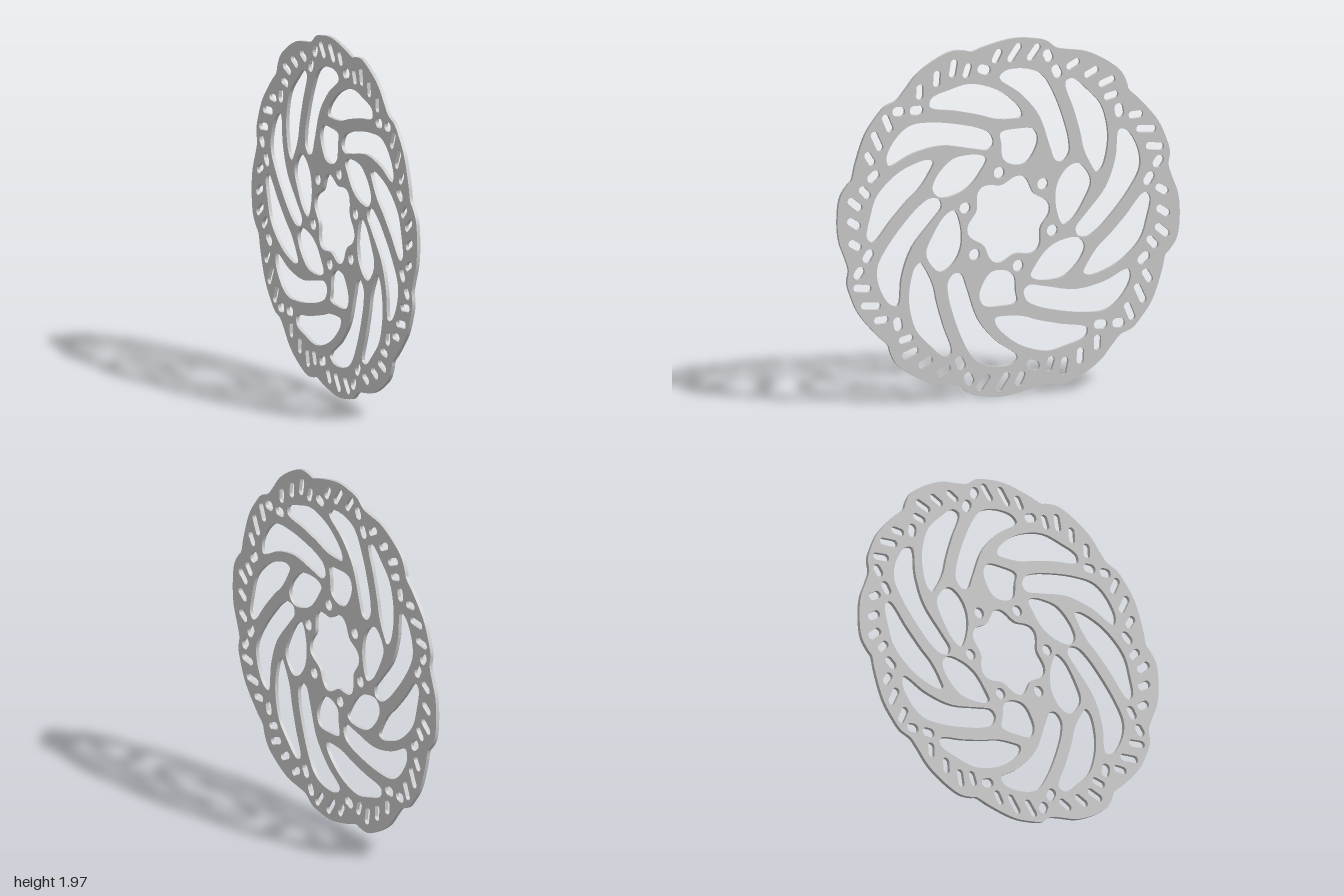
import * as THREE from 'three';

const UNIT = 187;          // drawing units per model unit
const THICK = 0.02;
const HUB_SHIFT = -2;      // the hub sits slightly below the rim centre
const BOLT_ANGLE = -12;
const SIXTHS = [0, 60, 120, 180, 240, 300];

// Clockwise turn about the centre, in degrees
function turned([x, y], deg) {
  const a = THREE.MathUtils.degToRad(deg), c = Math.cos(a), s = Math.sin(a);
  return [x * c + y * s, y * c - x * s];
}

// Point at an angle clockwise from the top
const polar = (deg, r) => turned([0, r], deg);
const toHub = ([x, y]) => [x, y + HUB_SHIFT];
const toVectors = points => points.map(([x, y]) => new THREE.Vector2(x / UNIT, y / UNIT));

// Smooth closed curve through a few points
function closedCurve(points, divisions) {
  const curve = new THREE.CatmullRomCurve3(
    points.map(([x, y]) => new THREE.Vector3(x, y, 0)), true, 'centripetal');
  return toVectors(curve.getPoints(divisions).slice(0, -1).map(p => [p.x, p.y]));
}

// Rounded slot with its long axis tilted clockwise from vertical
function slot([cx, cy], tilt, length, width) {
  const half = (length - width) / 2, points = [];
  for (let i = 0; i < 16; i++) {
    const [x, y] = polar(90 - (i + 0.5) * 22.5, width / 2);
    const [dx, dy] = turned([x, y + (i < 8 ? half : -half)], tilt);
    points.push([cx + dx, cy + dy]);
  }
  return toVectors(points);
}

// Two long curved openings between the spokes, repeated six times
const spokeOpenings = [
  [[-10, 145], [-3, 152], [20, 152], [37, 144], [50, 123], [61, 94], [66, 74], [66, 61],
    [59, 53], [51, 55], [45, 70], [33, 103], [13, 127]],
  [[62, 135], [70, 138], [87, 124], [101, 108], [108, 84], [108, 64], [102, 43], [96, 39],
    [90, 47], [82, 64], [78, 82], [71, 106]],
];

// Small openings beside the hub, repeated by a half turn
const hubOpenings = [
  [[-8, 77], [-9, 88], [8, 91], [27, 89], [32, 79], [28, 66], [19, 55], [5, 54], [-6, 61]],
  [[75, 50], [84, 43], [90, 30], [83, 12], [69, -8], [59, -12], [51, 12], [54, 33], [65, 47]],
  [[-83, 36], [-79, 48], [-66, 62], [-56, 67], [-31, 67], [-24, 62], [-29, 52], [-42, 36],
    [-58, 28], [-76, 27]],
];

// Rim vents in one sixth: angle, radius, tilt, length
const vents = [
  [2.2, 169.6, 35, 22], [9.3, 170.5, 37, 20], [14.8, 169, -25, 14], [19.8, 155.5, -28, 15],
  [24.8, 168, 62, 16], [32.4, 168.7, 64, 17], [39.2, 169.7, 70, 19], [43.8, 161.5, 78, 16],
  [50.2, 157, -10, 15], [55.7, 168, 88, 16],
];

// Stepped rim outline in one sixth: angle, radius
const rim = [
  [-13, 179], [-8, 180.5], [2, 184.7], [8.5, 184.8], [13, 184], [17, 179],
  [21, 180.3], [27, 185], [34, 187], [41, 187], [45.2, 182],
];

export function createModel() {
  // Rim outline, anticlockwise
  const outline = SIXTHS.flatMap(turn => rim.map(([a, r]) => polar(a + turn, r)));
  const shape = new THREE.Shape(closedCurve(outline.reverse(), 330));
  const cut = points => shape.holes.push(new THREE.Path(points));

  // Spoke openings, bolt holes and rim vents
  for (const turn of SIXTHS) {
    for (const opening of spokeOpenings) cut(closedCurve(opening.map(p => turned(p, turn)), 64));
    cut(slot(toHub(polar(turn + BOLT_ANGLE, 50)), 0, 12, 12));
    for (const [a, r, tilt, length] of vents) {
      cut(slot(polar(a + turn, r), tilt + turn, length, length < 16 ? 10 : 8));
    }
  }

  // Hub openings
  for (const opening of hubOpenings) {
    for (const turn of [0, 180]) cut(closedCurve(opening.map(p => turned(p, turn)), 48));
  }

  // Scalloped bore, drawn in at each bolt hole
  const bore = [];
  for (let a = 0; a < 360; a += 3) {
    bore.push(toHub(polar(a + BOLT_ANGLE, 41.5 - 4.5 * Math.cos(THREE.MathUtils.degToRad(a * 6)))));
  }
  cut(toVectors(bore));

  // Thin plate standing across the x axis
  const geometry = new THREE.ExtrudeGeometry(shape, { depth: THICK, bevelEnabled: false });
  geometry.translate(0, 0, -THICK / 2);
  geometry.rotateY(Math.PI / 2);
  const plate = new THREE.Mesh(geometry, new THREE.MeshStandardMaterial({ color: 0xcccccc }));
  plate.name = 'rotorPlate';
  plate.position.y = 0.986;

  const group = new THREE.Group();
  group.name = 'brakeDisc';
  group.add(plate);
  return group;
}
